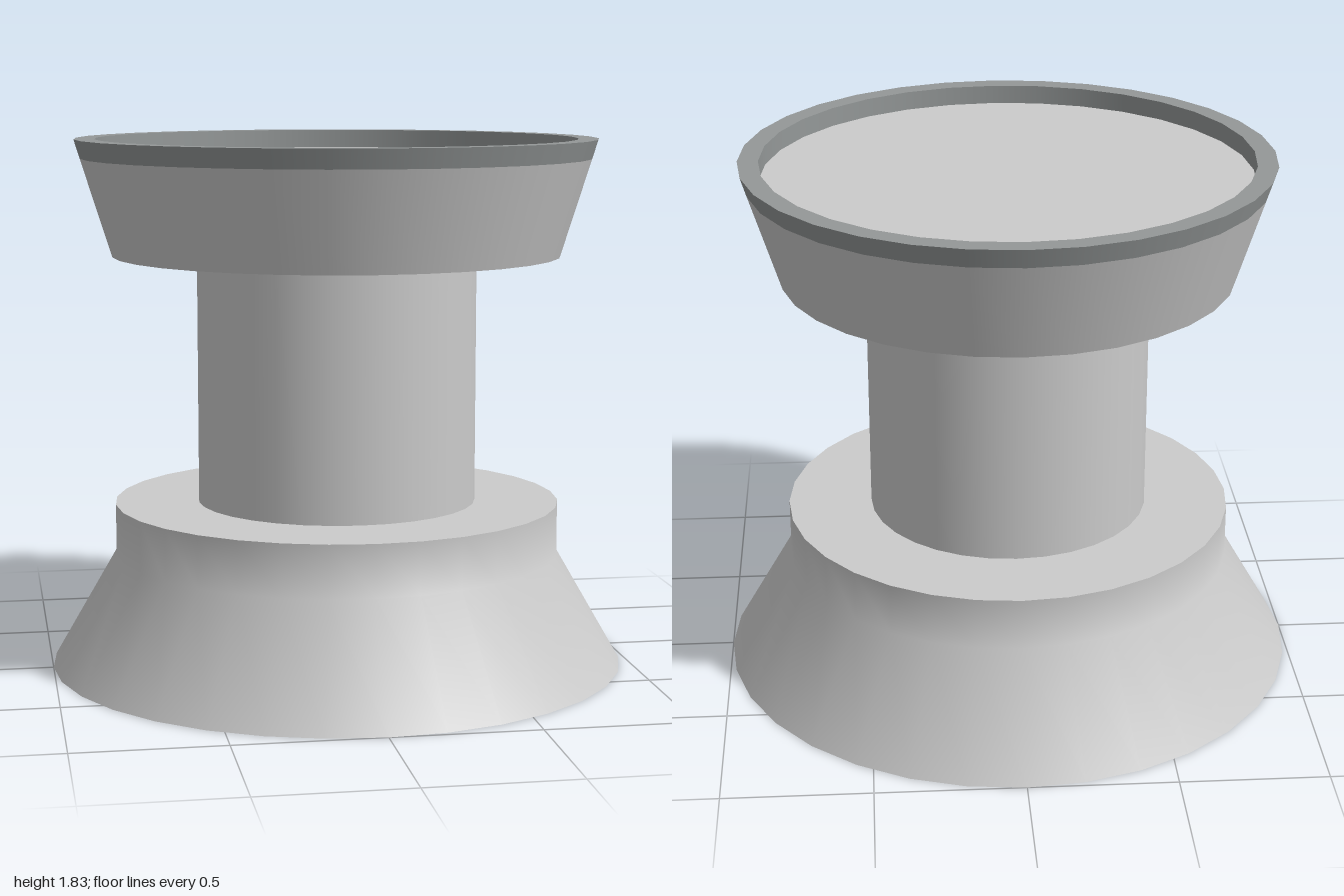
import * as THREE from 'three';

const SEGMENTS = 32;
const grey = new THREE.MeshStandardMaterial({ color: 0xcccccc });
const darkGrey = new THREE.MeshStandardMaterial({ color: 0x949898 });

// Each profile is one smooth turned surface of [radius, y]; edges between profiles stay sharp.
function turned(name, material, profiles) {
  const part = new THREE.Group();
  part.name = name;
  profiles.forEach((profile) => {
    const points = profile.map(([r, y]) => new THREE.Vector2(r, y));
    const mesh = new THREE.Mesh(new THREE.LatheGeometry(points, SEGMENTS), material);
    mesh.name = name + 'Surface';
    part.add(mesh);
  });
  return part;
}

export function createModel() {
  const model = new THREE.Group();
  model.name = 'pedestal';

  // Flared foot with a short upright collar, softly blended at the bend
  model.add(turned('base', grey, [
    [[0, 0], [1, 0]],
    [[1, 0], [0.775, 0.39], [0.775, 0.57]],
    [[0.775, 0.57], [0.485, 0.57]],
  ]));

  // Plain round shaft
  model.add(turned('column', grey, [[[0.485, 0.57], [0.485, 1.43]]]));

  // Flared head with a flat sunken top
  model.add(turned('head', grey, [
    [[0.485, 1.43], [0.775, 1.43]],
    [[0.775, 1.43], [0.88, 1.765]],
    [[0.83, 1.765], [0, 1.765]],
  ]));

  // Darker raised rim around the top
  model.add(turned('rim', darkGrey, [
    [[0.88, 1.765], [0.9, 1.83]],
    [[0.9, 1.83], [0.83, 1.83]],
    [[0.83, 1.83], [0.83, 1.765]],
  ]));

  return model;
}
